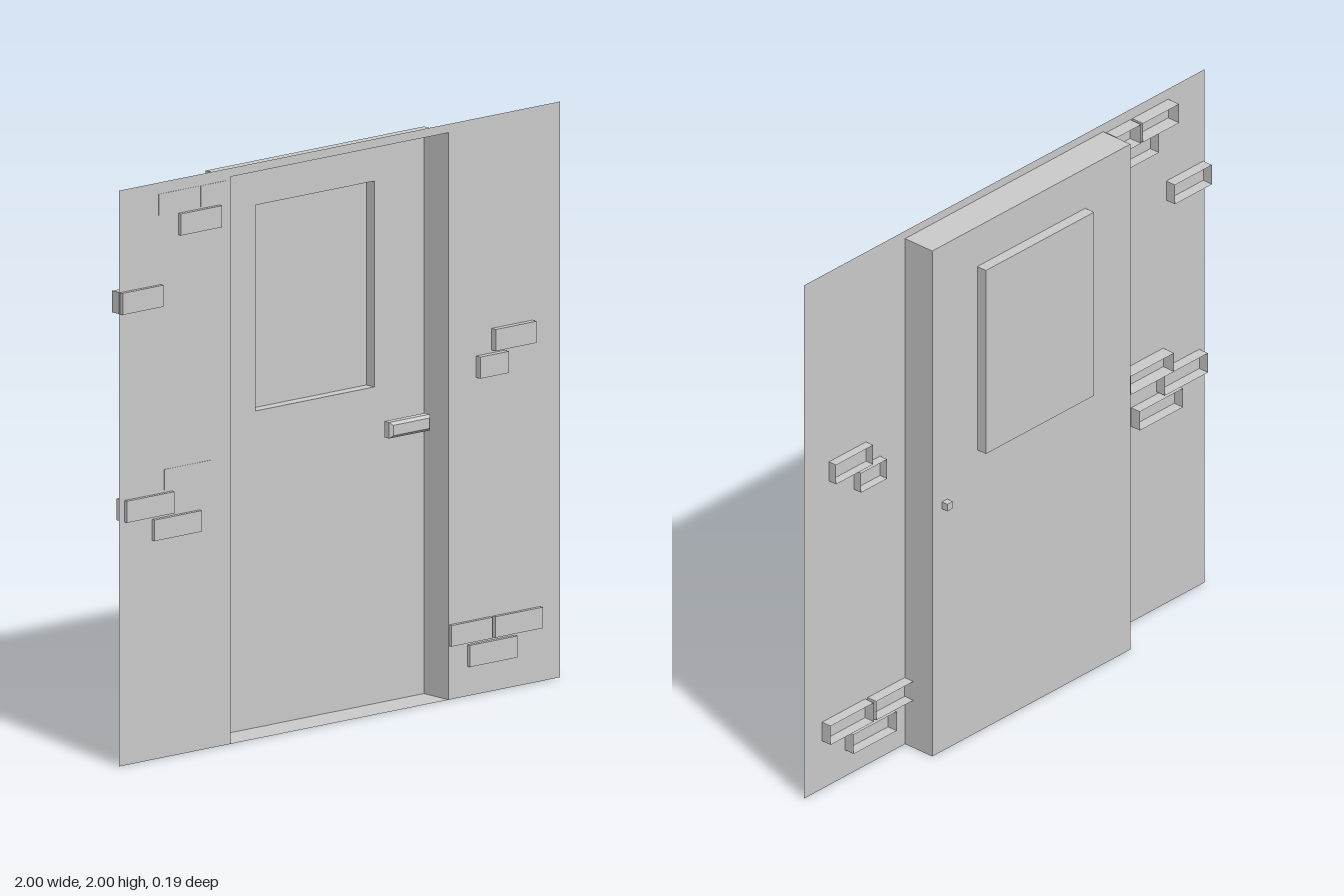
import * as THREE from 'three';

const material = new THREE.MeshStandardMaterial({ color: 0xcccccc, side: THREE.DoubleSide, flatShading: true });

const WALL_Z = 0.07, DOOR_Z = -0.055, WINDOW_Z = -0.095;
const DOOR = [-0.495, 0.495, 0, 1.97];
const WINDOW = [-0.27, 0.27, 1.1, 1.815];

function add(parent, name, geometry) {
  const mesh = new THREE.Mesh(geometry, material);
  mesh.name = name;
  parent.add(mesh);
  return mesh;
}

// Box between limits; faces run +x, -x, +y, -y, +z, -z and only the first few are kept
function openBox([x0, x1, y0, y1], zBack, zFront, faces) {
  const g = new THREE.BoxGeometry(x1 - x0, y1 - y0, zFront - zBack);
  g.setIndex(Array.from(g.index.array).slice(0, faces * 6));
  g.translate((x0 + x1) / 2, (y0 + y1) / 2, (zBack + zFront) / 2);
  return g;
}

function rectangle(path, [x0, x1, y0, y1]) {
  path.moveTo(x0, y0);
  path.lineTo(x1, y0);
  path.lineTo(x1, y1);
  path.lineTo(x0, y1);
  path.closePath();
  return path;
}

export function createModel() {
  const model = new THREE.Group();
  model.name = 'doorInWall';

  // Thin wall sheet cut around the doorway
  const [dx0, dx1, , dTop] = DOOR;
  const wall = new THREE.Shape([
    [-1, 0], [dx0, 0], [dx0, dTop], [dx1, dTop], [dx1, 0], [1, 0], [1, 2], [-1, 2],
  ].map(([x, y]) => new THREE.Vector2(x, y)));
  add(model, 'wall', new THREE.ShapeGeometry(wall).translate(0, 0, WALL_Z));

  // Recessed doorway lining and door leaf with a window opening
  add(model, 'doorFrame', openBox(DOOR, DOOR_Z, WALL_Z, 4));
  const leaf = rectangle(new THREE.Shape(), DOOR);
  leaf.holes.push(rectangle(new THREE.Path(), WINDOW));
  add(model, 'doorLeaf', new THREE.ShapeGeometry(leaf).translate(0, 0, DOOR_Z));

  // Window set further back
  add(model, 'windowFrame', openBox(WINDOW, WINDOW_Z, DOOR_Z, 4));
  const pane = rectangle(new THREE.Shape(), WINDOW);
  add(model, 'windowPane', new THREE.ShapeGeometry(pane).translate(0, 0, WINDOW_Z));

  // Bevelled lever handle on a stem that passes through the door
  const handle = new THREE.Group();
  handle.name = 'handle';
  model.add(handle);
  const bevel = 0.01;
  const bar = rectangle(new THREE.Shape(), [0.285, 0.45, 0.942, 0.978]);
  add(handle, 'handleBar', new THREE.ExtrudeGeometry(bar, {
    depth: 0.025, bevelThickness: bevel, bevelSize: bevel, bevelSegments: 1,
  }).translate(0, 0, -0.01));
  add(handle, 'handleStem', openBox([0.42, 0.447, 0.945, 0.972], -0.08, -0.01, 6));

  // Hollow-backed bricks in clusters: [x0, x1, y0, y1], sharing a front depth
  const clusters = [
    { name: 'leftBrick', front: 0.084, back: 0.03, bricks: [
      [-0.73, -0.545, 1.805, 1.88], [-0.995, -0.81, 1.57, 1.645],
      [-0.975, -0.76, 0.845, 0.92], [-0.85, -0.635, 0.762, 0.835]] },
    { name: 'flushBrick', front: 0.0715, back: 0.02, bricks: [
      [-0.82, -0.64, 1.887, 1.96], [-0.63, -0.51, 1.887, 1.96], [-0.795, -0.58, 0.928, 1.0]] },
    { name: 'middleBrick', front: 0.092, back: 0.037, bricks: [
      [0.69, 0.875, 1.185, 1.26], [0.62, 0.75, 1.1, 1.175]] },
    { name: 'lowerBrick', front: 0.084, back: 0.03, bricks: [
      [0.497, 0.682, 0.187, 0.26], [0.695, 0.91, 0.187, 0.26], [0.58, 0.795, 0.103, 0.178]] },
  ];
  for (const { name, front, back, bricks } of clusters) {
    for (const limits of bricks) add(model, name, openBox(limits, back, front, 5));
  }

  return model;
}
